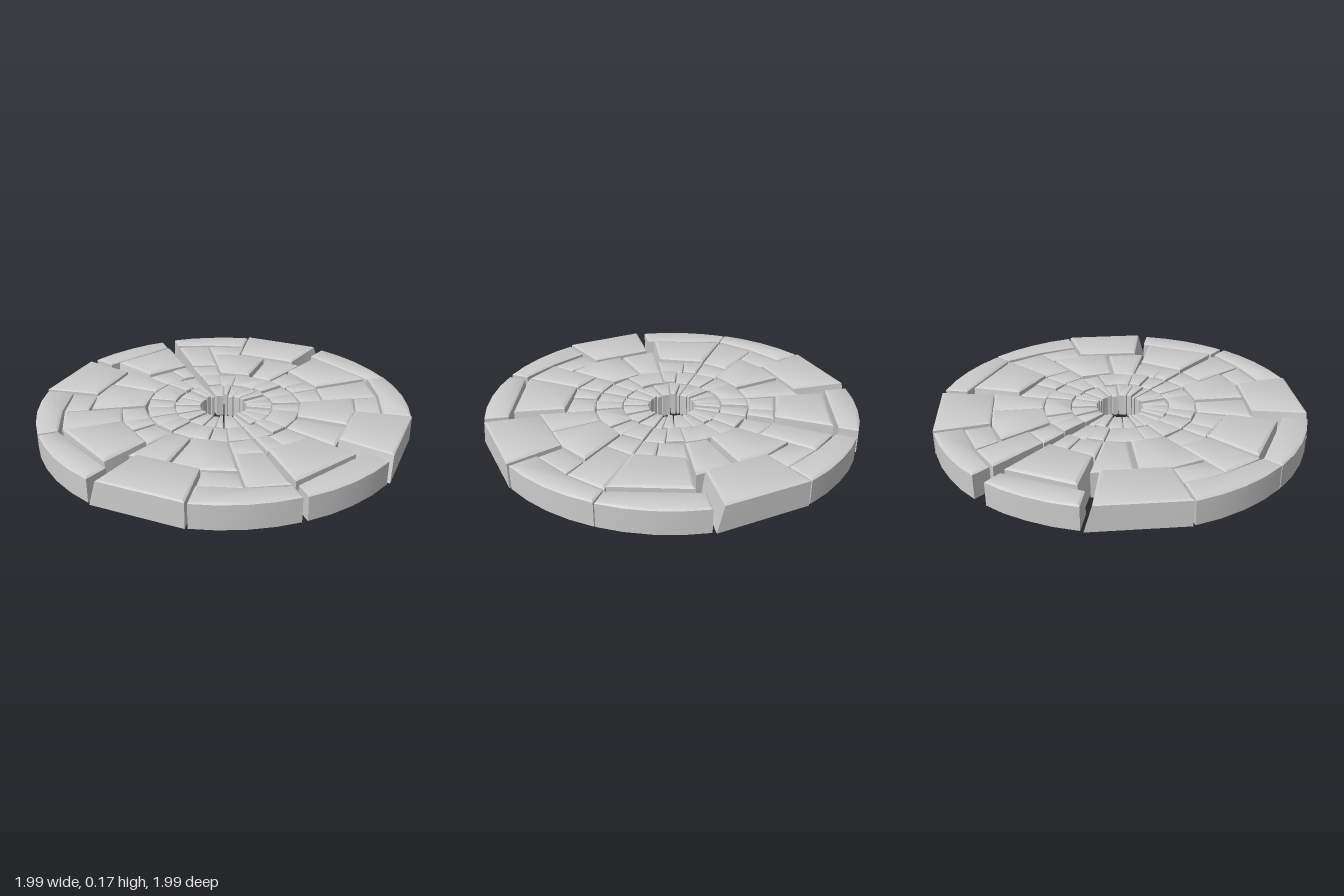
import * as THREE from 'three';
import { toCreasedNormals } from 'three/addons/utils/BufferGeometryUtils.js';

// Plan points are [x, u] where u = -z, so each outline reads like a map.
const material = new THREE.MeshStandardMaterial({ color: 0xcccccc });
const CRACK = THREE.MathUtils.degToRad(47.5);
const polar = (r, deg) => {
  const a = THREE.MathUtils.degToRad(deg); // clockwise from the back
  return [r * Math.sin(a), r * Math.cos(a)];
};
const arc = (r, a, b, n) => Array.from({ length: n + 1 }, (_, i) => polar(r, a + (b - a) * i / n));

let seed = 7;
const rand = () => (seed = (seed * 16807) % 2147483647) / 2147483647;

// Mitred inset of a counter-clockwise outline
function inset(poly, d) {
  const n = poly.length;
  const normal = (a, b) => {
    const l = Math.hypot(b[0] - a[0], b[1] - a[1]);
    return [(a[1] - b[1]) / l, (b[0] - a[0]) / l];
  };
  return poly.map((p, i) => {
    const m = normal(poly[(i + n - 1) % n], p), k = normal(p, poly[(i + 1) % n]);
    const s = d / Math.max(0.4, 1 + m[0] * k[0] + m[1] * k[1]);
    return [p[0] + (m[0] + k[0]) * s, p[1] + (m[1] + k[1]) * s];
  });
}

// Bevelled slab lofted from a lower outline to an upper outline
function slab(low, high, y0, y1, bevel) {
  const rings = [
    [inset(low, bevel + 0.003), y0], [inset(low, 0.003), y0 + 0.008],
    [inset(high, 0.003), y1 - bevel * 0.6], [inset(high, bevel + 0.003), y1],
  ];
  const n = low.length, pos = [], idx = [];
  for (const [ring, y] of rings) for (const [x, u] of ring) pos.push(x, y, -u);
  for (let r = 0; r < 3; r++) for (let i = 0; i < n; i++) {
    const a = r * n + i, b = r * n + (i + 1) % n;
    idx.push(a, b, b + n, a, b + n, a + n);
  }
  const cap = ring => THREE.ShapeUtils.triangulateShape(ring.map(p => new THREE.Vector2(...p)), []);
  for (const [a, b, c] of cap(rings[0][0])) idx.push(a, c, b);
  for (const [a, b, c] of cap(rings[3][0])) idx.push(3 * n + a, 3 * n + b, 3 * n + c);
  const g = new THREE.BufferGeometry();
  g.setAttribute('position', new THREE.Float32BufferAttribute(pos, 3));
  g.setIndex(idx);
  return toCreasedNormals(g, 0.62);
}

// Stones of one quarter; lean shifts chosen top corners to slope a side
const stones = [
  { name: 'rimBlock', y: [0.015, 0.167], bevel: 0.012,
    pts: [[-0.21, 1], [0.29, 0.985], [0.205, 0.69], [-0.16, 0.70]], lean: { 1: [-0.04, 0], 2: [-0.02, 0] } },
  { name: 'rimStone', y: [0.015, 0.158], bevel: 0.012,
    pts: [...arc(1.017, 17, 47.5, 4), [0.67, 0.615], [0.26, 0.845]] },
  { name: 'rimStone', y: [0.015, 0.161], bevel: 0.012,
    pts: [...arc(1.017, 47.5, 77.8, 4), [0.84, 0.19], [0.775, 0.405], [0.67, 0.615]] },
  { name: 'wideStone', y: [0.01, 0.165], bevel: 0.016,
    pts: [[0.27, 0.82], [0.655, 0.60], [0.42, 0.39], [0.185, 0.55]], lean: { 0: [0.025, -0.01], 3: [0.015, 0] } },
  { name: 'middleStone', y: [0.008, 0.155], bevel: 0.014,
    pts: [[0.66, 0.605], [0.77, 0.405], [0.50, 0.245], [0.42, 0.39]] },
  { name: 'wedgeStone', y: [0.012, 0.15], bevel: 0.008,
    pts: [[0.655, 0.335], [0.77, 0.405], [0.84, 0.19], [0.70, 0.165]] },
  { name: 'middleStone', y: [0.005, 0.158], bevel: 0.014,
    pts: [[0.645, 0.33], [0.70, 0.165], [0.70, 0], [0.42, 0], [0.39, 0.18], [0.50, 0.245]] },
  { name: 'middleStone', y: [0.01, 0.152], bevel: 0.014,
    pts: [[0.005, 0.70], [0.232, 0.69], [0.135, 0.40], [0.005, 0.42]], lean: { 0: [0.01, 0], 3: [0.01, 0] } },
  { name: 'smallStone', y: [0.01, 0.147], bevel: 0.01,
    pts: [[0.19, 0.55], [0.325, 0.455], [0.25, 0.34], [0.135, 0.40]] },
  { name: 'smallStone', y: [0.005, 0.152], bevel: 0.01,
    pts: [[0.325, 0.455], [0.42, 0.39], [0.31, 0.285], [0.25, 0.34]] },
  { name: 'smallStone', y: [0.012, 0.148], bevel: 0.01,
    pts: [[0.42, 0.39], [0.50, 0.245], [0.39, 0.18], [0.31, 0.285]] },
];

// Two inner rings of wedges around the hole
function addRing(name, edges, rIn, rOut, top) {
  for (let i = 0; i + 1 < edges.length; i++) {
    const a = edges[i], b = edges[i + 1], n = b - a > 18 ? 2 : 1;
    stones.push({ name, y: [0.008, top + (i % 3) * 0.005], bevel: 0.007,
      pts: [...arc(rOut, a, b, n), ...arc(rIn, a, b, n).reverse()] });
  }
}
addRing('innerStone', [-25, -11, 18, 32, 47.5, 65], 0.27, 0.42, 0.144);
addRing('holeStone', [-12, 3, 24, 38, 47.5, 68, 78], 0.125, 0.27, 0.14);

// Part the stones on either side of the diagonal seam
function openCrack(poly, width) {
  const c = Math.cos(CRACK), s = Math.sin(CRACK);
  const off = p => p[0] * c - p[1] * s;
  const side = Math.sign(poly.reduce((t, p) => t + off(p), 0));
  return poly.map(p => {
    const k = side * width * Math.hypot(...p) * Math.max(0, 1 - Math.abs(off(p)) / 0.2);
    return p[0] * s + p[1] * c > 0 ? [p[0] + c * k, p[1] - s * k] : p;
  });
}

export function createModel() {
  const model = new THREE.Group();
  model.name = 'stoneDisc';
  const crackWidths = [0, 0.011, 0, 0.038];
  crackWidths.forEach((width, q) => {
    const quarter = new THREE.Group();
    quarter.name = 'discQuarter' + (q + 1);
    for (const { name, y, bevel, pts, lean = {} } of stones) {
      const place = outline => {
        let poly = openCrack(outline, width);
        for (let i = 0; i < q; i++) poly = poly.map(([x, u]) => [u, -x]);
        return poly.reverse(); // clockwise plans become counter-clockwise
      };
      const high = pts.map((p, i) => lean[i] ? [p[0] + lean[i][0], p[1] + lean[i][1]] : p);
      const rim = name.startsWith('rim');
      const y0 = rim ? y[0] : y[0] * 2 * rand();
      const y1 = y[1] + (rim ? 0 : (rand() - 0.5) * 0.006);
      const mesh = new THREE.Mesh(slab(place(pts), place(high), y0, y1, bevel), material);
      mesh.name = name;
      quarter.add(mesh);
    }
    model.add(quarter);
  });
  return model;
}
